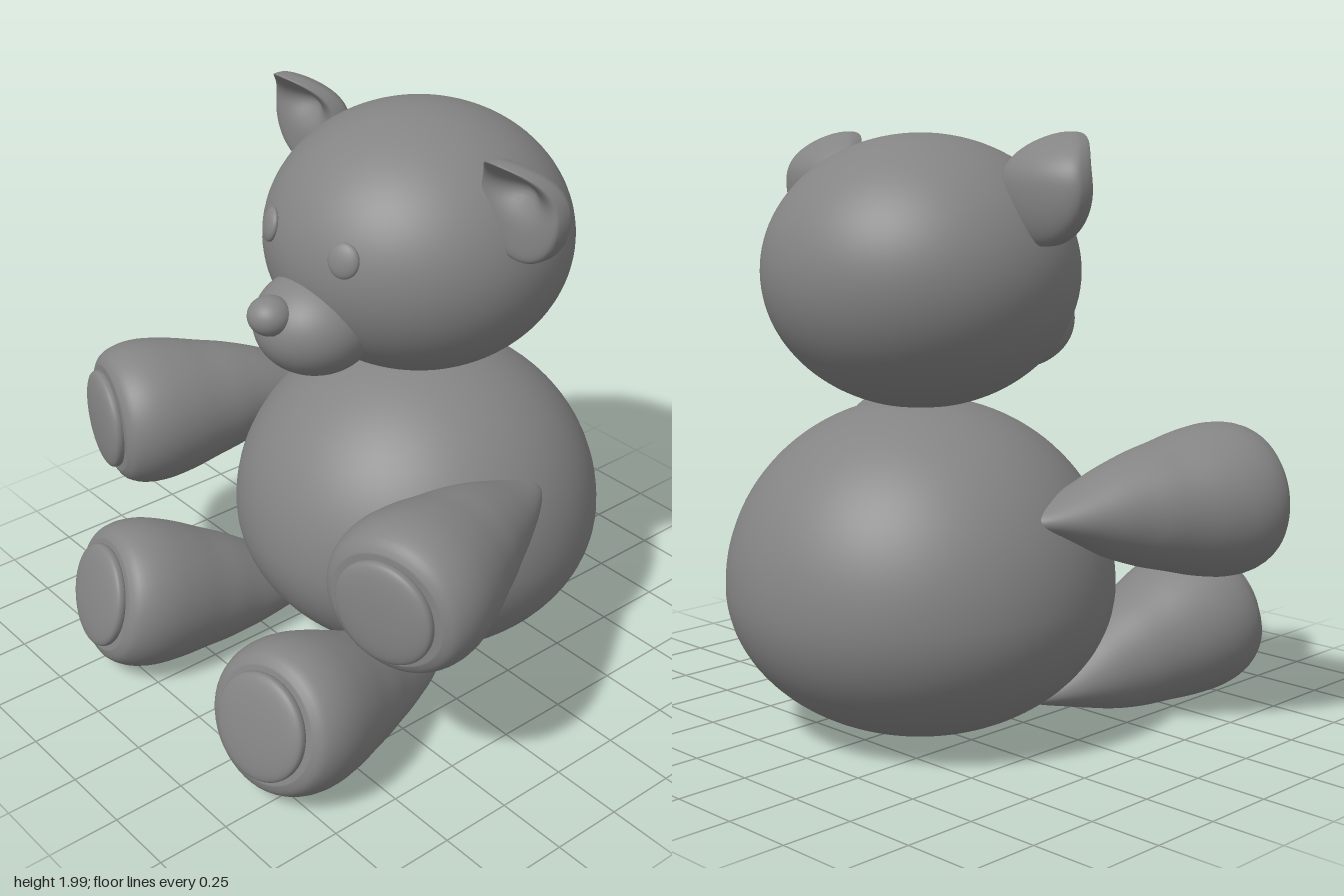
import * as THREE from 'three';
import { mergeVertices } from 'three/addons/utils/BufferGeometryUtils.js';

const material = new THREE.MeshStandardMaterial({ color: 0x848484 });

// Move the points of a geometry by a rule and give it seamless smooth normals
function reshape(source, rule) {
  source.deleteAttribute('uv');
  source.deleteAttribute('normal');
  const geometry = mergeVertices(source, 1e-4);
  const p = geometry.attributes.position;
  for (let i = 0; i < p.count; i++) p.setXYZ(i, ...rule(p.getX(i), p.getY(i), p.getZ(i)));
  geometry.computeVertexNormals();
  return geometry;
}

const shapedSphere = (rule, segments = 48) =>
  reshape(new THREE.SphereGeometry(1, segments, segments * 0.75), rule);

const ellipsoid = (rx, ry, rz, segments) =>
  shapedSphere((u, v, w) => [u * rx, v * ry, w * rz], segments);

function add(parent, name, geometry, x, y, z) {
  const mesh = new THREE.Mesh(geometry, material);
  mesh.name = name;
  mesh.position.set(x, y, z);
  parent.add(mesh);
  return mesh;
}

// Limb along +z: a broad, thin root swelling to a blunt paw; lift bends the root upward
function limbGeometry(width, lift) {
  const side = new THREE.SplineCurve([
    [0, 0], [0.025, 0.025], [0.065, 0.12], [0.105, 0.21], [0.15, 0.31], [0.187, 0.415],
    [0.214, 0.52], [0.24, 0.62], [0.256, 0.72], [0.252, 0.8], [0.228, 0.86], [0.19, 0.885],
  ].map(([r, s]) => new THREE.Vector2(r, s))).getPoints(44);
  side[0].x = 0;
  side.push(new THREE.Vector2(0, 0.885));
  const lathe = new THREE.LatheGeometry(side, 48).rotateX(Math.PI / 2);
  return reshape(lathe, (x, y, z) => {
    const root = Math.max(0, 1 - z / 0.4) ** 2;
    return [x * (width + root), y + lift * root, z];
  });
}

// Ear: a thick disc, hollowed in front, with its upper edge curling forward
function earGeometry() {
  return shapedSphere((u, v, w) => {
    const middle = -0.225 + 0.025 * u * u + (v > 0 ? 0.14 * v ** 2.6 : 0.025 * v * v);
    const thickness = 0.06 * Math.sign(w) * Math.sqrt(Math.abs(w));
    const hollow = w > 0 ? 0.065 * w * Math.exp(-((v - 0.35) ** 2) / 0.12 - u * u / 0.3) : 0;
    return [u * 0.172, v * 0.175, middle + thickness - hollow];
  });
}

export function createModel() {
  const bear = new THREE.Group();
  bear.name = 'teddyBear';

  // Body is taller above its widest level than below it
  add(bear, 'body', shapedSphere((u, v, w) => [u * 0.655, v * (v > 0 ? 0.622 : 0.5), w * 0.65], 72),
    -0.01, 0.51, -0.25);

  // Head and face, set slightly off centre
  const faceX = -0.012;
  add(bear, 'head', ellipsoid(0.524, 0.447, 0.525, 72), faceX, 1.55, -0.245);
  add(bear, 'muzzle', ellipsoid(0.205, 0.174, 0.21), faceX, 1.362, 0.2);
  add(bear, 'nose', ellipsoid(0.075, 0.065, 0.075, 32), faceX, 1.438, 0.385);

  const arm = limbGeometry(1.05, 0);
  const leg = limbGeometry(1.02, 0.03);
  const pad = shapedSphere((u, v, w) =>
    [u * 0.177, v * 0.177, 0.038 * Math.sign(w) * Math.abs(w) ** 0.7]);
  const ear = earGeometry();
  const eye = ellipsoid(0.055, 0.058, 0.022, 32);

  function addLimb(name, geometry, x, y, z, yaw, pitch, size) {
    const group = new THREE.Group();
    group.name = name;
    group.position.set(x, y, z);
    group.rotation.set(-pitch, yaw, 0, 'YXZ');
    group.scale.setScalar(size);
    add(group, name + 'Limb', geometry, 0, 0, 0);
    add(group, name + 'Pad', pad, 0, 0, 0.897);
    bear.add(group);
  }

  // Paired parts
  for (const side of [1, -1]) {
    const prefix = side > 0 ? 'left' : 'right';
    add(bear, prefix + 'Ear', ear, side * 0.523, 1.825, 0);
    add(bear, prefix + 'Eye', eye, faceX + side * 0.186, 1.65, 0.233)
      .rotation.set(-0.25, side * 0.4, 0, 'YXZ');
    addLimb(prefix + 'Arm', arm, side * 0.528, 0.796, -0.295, side * 0.27, 0, 1);
    addLimb(prefix + 'Leg', leg, 0.017 + side * 0.318, 0.085, -0.035, side * 0.17, 0.26, 1.02);
  }
  return bear;
}
